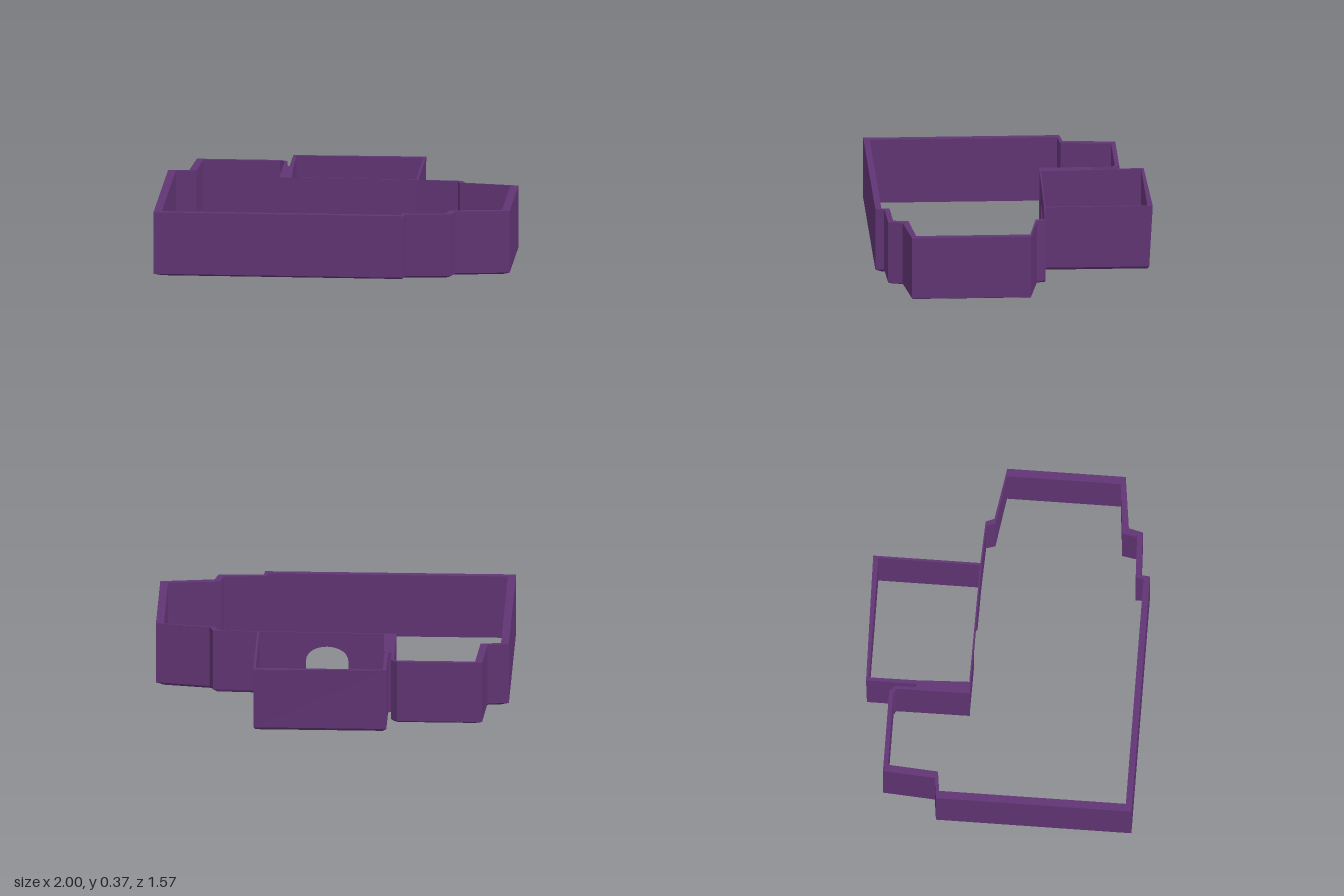
import * as THREE from 'three';

const material = new THREE.MeshStandardMaterial({ color: 0x623575, side: THREE.DoubleSide, flatShading: true });
const TOP = 0.37, LIP = 0.015;

// Wall run from plan points [outerX, outerZ, innerX, innerZ, outerZ at the foot];
// the underside slopes down from the outer face to the inner one.
function wall(name, points) {
  const rings = points.map(([ox, oz, ix, iz, footZ = oz]) => [
    [ox, LIP, footZ], [ox, TOP, oz], [ix, TOP, iz], [ix, 0, iz],
  ]);
  const pos = [];
  const quad = (a, b, c, d) => pos.push(...a, ...b, ...c, ...a, ...c, ...d);
  for (let i = 0; i < rings.length - 1; i++) {
    for (let j = 0; j < 4; j++) {
      const k = (j + 1) % 4;
      quad(rings[i][j], rings[i + 1][j], rings[i + 1][k], rings[i][k]);
    }
  }
  quad(...rings[0]);
  quad(...rings[rings.length - 1].slice().reverse());
  const geometry = new THREE.BufferGeometry();
  geometry.setAttribute('position', new THREE.Float32BufferAttribute(pos, 3));
  geometry.computeVertexNormals();
  const mesh = new THREE.Mesh(geometry, material);
  mesh.name = name;
  return mesh;
}

// Partition with an arched doorway
function partition() {
  const s = new THREE.Shape();
  s.moveTo(-0.36, 0.01);
  s.lineTo(-0.09, 0.01);
  s.lineTo(-0.09, 0.2);
  s.bezierCurveTo(-0.085, 0.315, 0.145, 0.315, 0.15, 0.2);
  s.lineTo(0.15, 0.01);
  s.lineTo(0.42, 0.01);
  s.lineTo(0.42, TOP);
  s.lineTo(-0.36, TOP);
  const geometry = new THREE.ExtrudeGeometry(s, { depth: 0.008, bevelEnabled: false, curveSegments: 14 });
  // skew the wall slightly so it meets the thin side wall
  const p = geometry.attributes.position;
  for (let i = 0; i < p.count; i++) {
    p.setZ(i, p.getZ(i) - 0.19 + (p.getX(i) + 0.36) * 0.013);
  }
  geometry.computeVertexNormals();
  const mesh = new THREE.Mesh(geometry, material);
  mesh.name = 'archedPartition';
  return mesh;
}

export function createModel() {
  const group = new THREE.Group();
  group.name = 'roomWalls';

  // Main room, running from the alcove round the front to the partition
  group.add(wall('mainRoomWall', [
    [-0.345, -0.18, -0.36, -0.18],
    [-0.345, -0.605, -0.362, -0.595],
    [-0.38, -0.635, -0.385, -0.61],
    [-0.86, -0.635, -0.82, -0.61],
    [-0.88, -0.34, -0.84, -0.325],
    [-1, -0.325, -0.955, -0.31],
    [-1, 0.78, -0.955, 0.745],
    [0.415, 0.78, 0.4, 0.745],
    [0.42, 0.73, 0.4, 0.7],
    [0.675, 0.72, 0.645, 0.69],
    [0.695, 0.64, 0.66, 0.605],
    [1, 0.6, 0.955, 0.575],
    [1, -0.07, 0.955, -0.068],
    [0.695, -0.12, 0.665, -0.112],
    [0.675, -0.168, 0.65, -0.163],
    [0.415, -0.18, 0.415, -0.172],
  ]));

  // Small back room with a leaning rear wall
  group.add(wall('smallRoomWall', [
    [0.425, -0.176, 0.412, -0.176],
    [0.425, -0.785, 0.412, -0.755, -0.765],
    [-0.325, -0.77, -0.305, -0.755, -0.765],
    [-0.325, -0.48, -0.303, -0.48],
  ]));

  // Tapered pier between the two rooms
  group.add(wall('pier', [
    [-0.345, -0.485, -0.303, -0.485],
    [-0.361, -0.183, -0.29, -0.183],
  ]));

  group.add(partition());

  // Small plate on the side of the back room
  const plate = new THREE.Mesh(new THREE.BoxGeometry(0.004, 0.05, 0.03), material);
  plate.name = 'wallPlate';
  plate.position.set(0.424, 0.075, -0.548);
  group.add(plate);

  return group;
}
